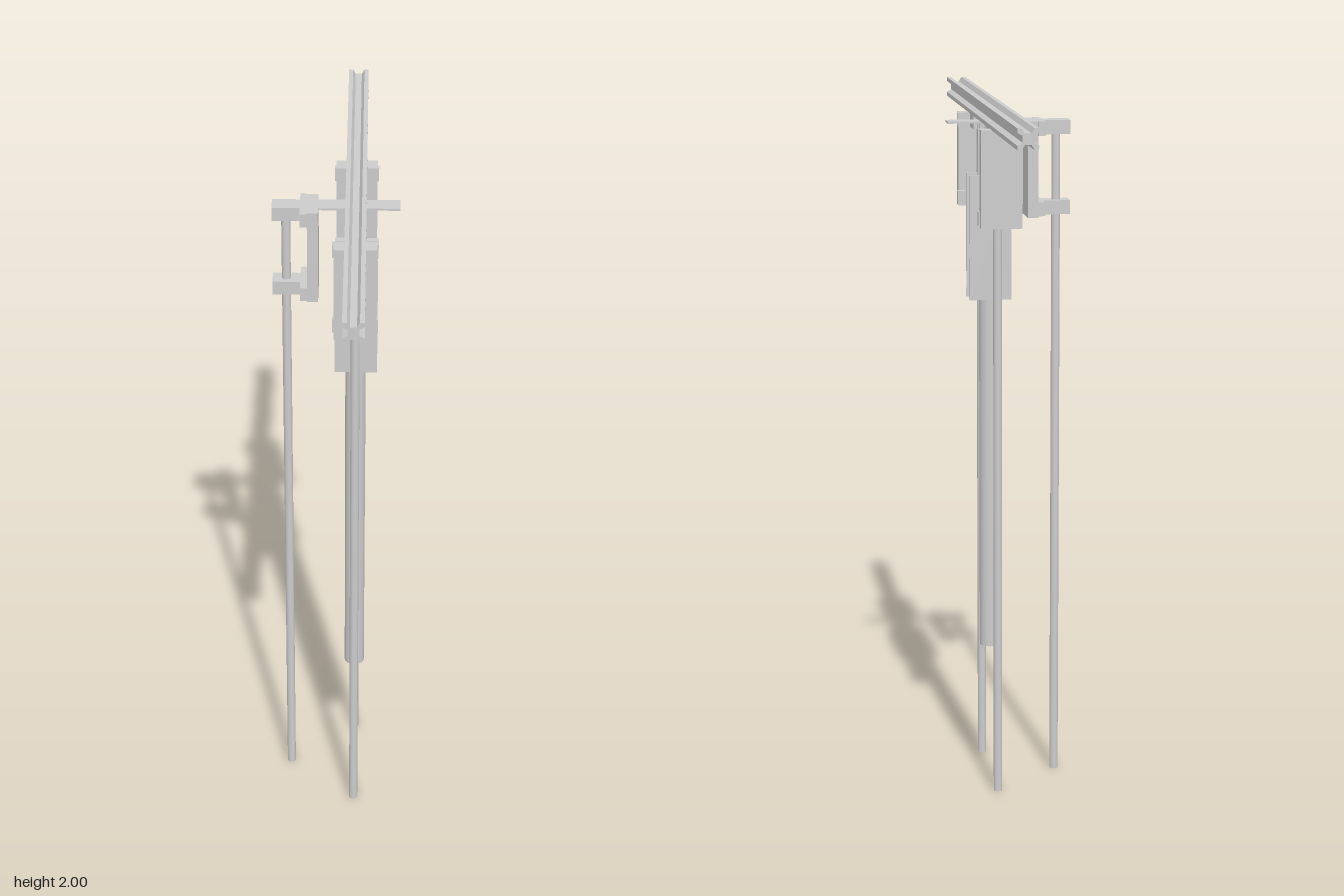
import * as THREE from 'three';

const material = new THREE.MeshStandardMaterial({ color: 0xcccccc });
const AXIS_X = 0.053; // rail and column centre
const TOP = 1.944;    // underside of the rail

function add(parent, name, geometry, x, y, z) {
  const mesh = new THREE.Mesh(geometry, material);
  mesh.name = name;
  mesh.position.set(x, y, z);
  parent.add(mesh);
  return mesh;
}

const box = (w, h, d) => new THREE.BoxGeometry(w, h, d);

// Square bar with a V groove on each of its four sides
function groovedBar(length) {
  const side = [[-0.0285, 0.0285], [-0.0165, 0.0285], [-0.009, 0.015], [0.009, 0.015], [0.0165, 0.0285]];
  const points = [];
  for (let i = 0; i < 4; i++) {
    for (const [x, y] of side) {
      points.push(new THREE.Vector2(x, y).rotateAround(new THREE.Vector2(), -i * Math.PI / 2));
    }
  }
  const geometry = new THREE.ExtrudeGeometry(new THREE.Shape(points), { depth: length, bevelEnabled: false });
  return geometry.translate(0, 0, -length / 2);
}

// Guide rod held by two T-shaped clamps on a back plate that lies towards local +z
function guideUnit(name, x, z, angle) {
  const unit = new THREE.Group();
  unit.name = name;
  add(unit, 'guideRod', new THREE.CylinderGeometry(0.0125, 0.0125, TOP - 0.002, 24), 0, (TOP - 0.002) / 2, 0);
  add(unit, 'backPlate', box(0.116, 0.274, 0.03), 0, TOP - 0.137, 0.074);
  for (const y of [TOP - 0.02, 1.695]) {
    add(unit, 'clampBody', box(0.052, 0.04, 0.078), 0, y, 0.001);
    add(unit, 'clampFlange', box(0.124, 0.04, 0.02), 0, y, 0.049);
  }
  unit.position.set(x, 0, z);
  unit.rotation.y = angle;
  return unit;
}

export function createModel() {
  const model = new THREE.Group();
  model.name = 'railOnGuideRods';

  // Long top rail
  add(model, 'topRail', groovedBar(1.49), AXIS_X, 1.972, 0);

  // Flat cross strip under the rail
  add(model, 'crossStrip', box(0.23, 0.006, 0.052), 0.059, TOP - 0.003, 0);

  // Central column: grooved bar above, round tube below
  add(model, 'columnBar', groovedBar(0.45), AXIS_X, TOP - 0.225, 0).rotation.x = Math.PI / 2;
  add(model, 'columnTube', new THREE.CylinderGeometry(0.029, 0.029, 1.095, 32), AXIS_X, 0.9425, 0);

  // Splice plates joining bar and tube
  for (const s of [-1, 1]) {
    add(model, 'splicePlate', box(0.12, 0.357, 0.01), AXIS_X + 0.001, 1.612, s * 0.0345);
  }

  // Three guide units around the column
  model.add(
    guideUnit('frontGuide', AXIS_X, 0.175, 0),
    guideUnit('backGuide', AXIS_X, -0.175, Math.PI),
    guideUnit('rightGuide', -0.14, 0, Math.PI / 2)
  );
  return model;
}
